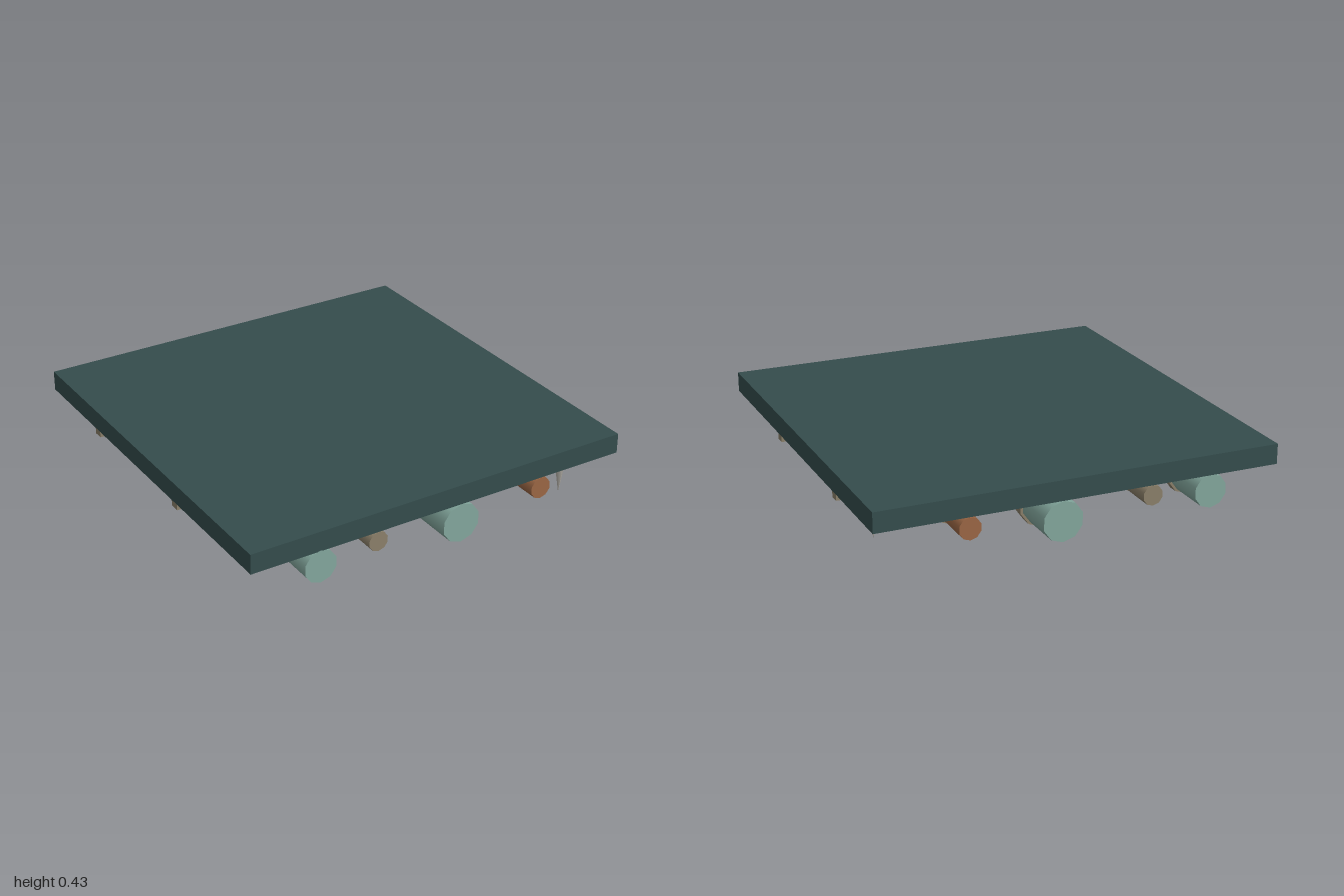
import * as THREE from 'three';

const mat = (name, color) => {
  const m = new THREE.MeshStandardMaterial({ color });
  m.name = name;
  return m;
};

export function createModel() {
  const root = new THREE.Group();
  const slate = mat('dark slate', 0x344c4c);
  const teal = mat('pale teal', 0x82a69c);
  const copper = mat('copper', 0x9a6644);
  const tan = mat('tan metal', 0x8a7f69);
  const moss = mat('moss green', 0x40592f);
  const stone = mat('pale stone', 0xb4b0a8);

  const add = (parent, name, geometry, material, x, y, z) => {
    const mesh = new THREE.Mesh(geometry, material);
    mesh.name = name;
    mesh.position.set(x, y, z);
    parent.add(mesh);
    return mesh;
  };

  // Ceiling slab and the two battens under it
  add(root, 'ceilingSlab', new THREE.BoxGeometry(2, 0.1, 2), slate, 0, 0.38, 0);
  for (const z of [0.3, -0.5]) {
    add(root, 'batten', new THREE.BoxGeometry(2, 0.03, 0.05), tan, 0, 0.315, z);
  }

  // Pipes running front to back, each with three collars
  const rod = (r, length) => new THREE.CylinderGeometry(r, r, length, 10).rotateX(Math.PI / 2);
  const pipes = [
    [-0.65, 0.252, 0.083, teal],
    [-0.35, 0.28, 0.05, tan],
    [0.1, 0.23, 0.1, teal],
    [0.55, 0.275, 0.055, copper],
  ];
  for (const [x, y, r, material] of pipes) {
    const run = new THREE.Group();
    run.name = 'pipeRun';
    run.position.set(x, y, 0);
    add(run, 'pipe', rod(r, 2), material, 0, 0, 0);
    for (const z of [0.6, -0.15, -0.75]) {
      add(run, 'collar', rod(r + 0.012, 0.05), tan, 0, 0, z);
    }
    root.add(run);
  }

  // Flattened moss clumps
  for (const [x, z] of [[-0.215, 0.65], [-0.69, -0.1]]) {
    add(root, 'mossClump', new THREE.SphereGeometry(0.115, 8, 6), moss, x, 0.23, z).scale.y = 0.26;
  }

  // Hanging spikes: x, z, length
  const spikes = [
    [-0.265, 0.385, 0.23],
    [0.14, 0.53, 0.18],
    [0.665, 0.715, 0.15],
    [0.8, 0.83, 0.14],
    [0.835, -0.545, 0.135],
  ];
  for (const [x, z, length] of spikes) {
    const cone = new THREE.ConeGeometry(0.022, length, 6).rotateX(Math.PI);
    add(root, 'hangingSpike', cone, stone, x, 0.23 - length / 2, z);
  }

  return root;
}
